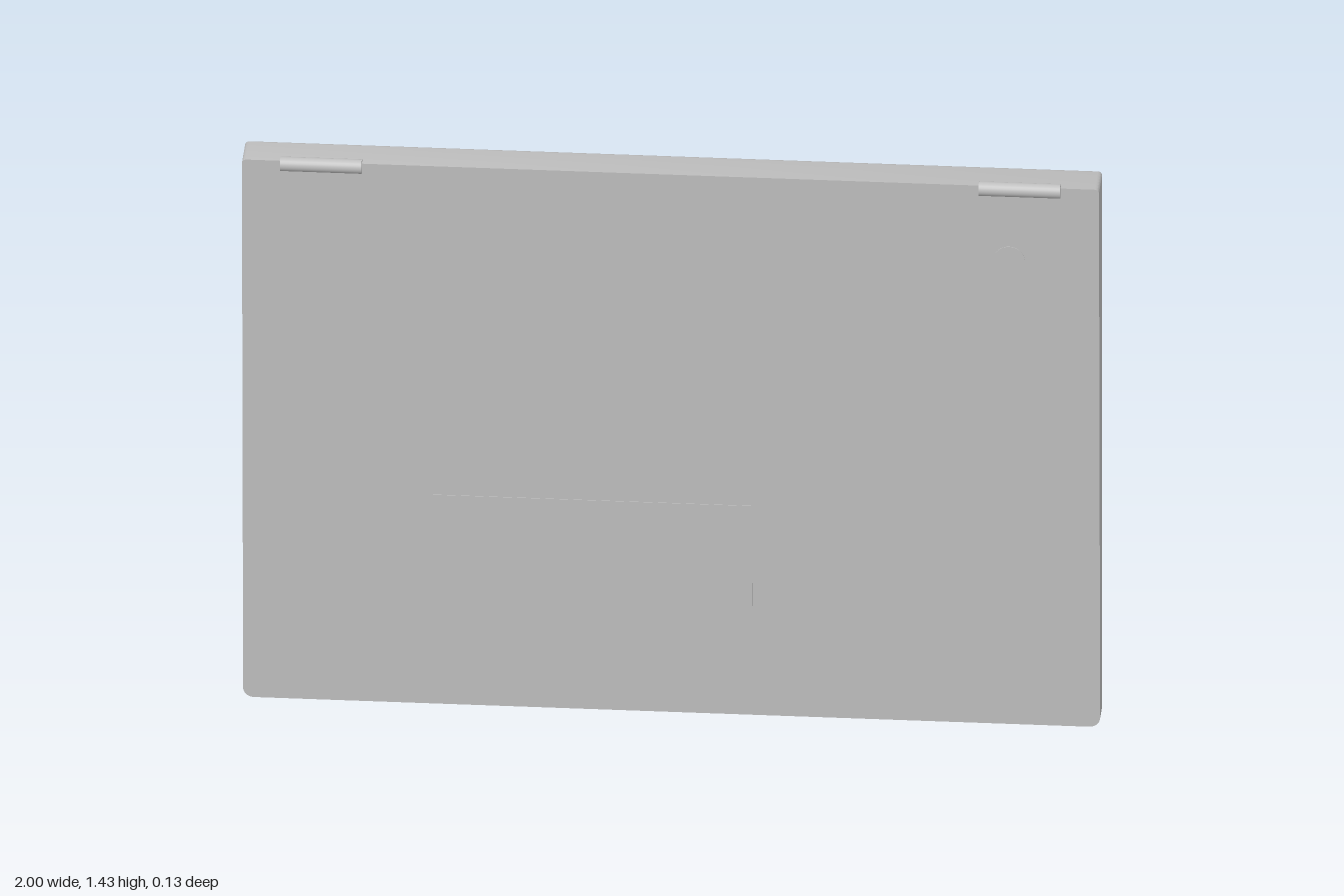
import * as THREE from 'three';
import { toCreasedNormals } from 'three/addons/utils/BufferGeometryUtils.js';

const H = 1.42, BACK = -0.06, LOW = 0.01, HIGH = 0.045;
const slopeZ = (y) => LOW + (HIGH - LOW) * (y / H);

// Slab outline, larger corners at the bottom, drawn anticlockwise
function outline() {
  const s = new THREE.Shape(), rb = 0.025, rt = 0.01;
  s.absarc(1 - rb, rb, rb, -Math.PI / 2, 0);
  s.absarc(1 - rt, H - rt, rt, 0, Math.PI / 2);
  s.absarc(-1 + rt, H - rt, rt, Math.PI / 2, Math.PI);
  s.absarc(-1 + rb, rb, rb, Math.PI, Math.PI * 1.5);
  return s.getPoints(6);
}

// Wedge lofted from outline loops: rounded back rim, sloping front face
function wedge() {
  const pts = outline(), n = pts.length, pos = [], idx = [];
  const loops = [];
  for (let i = 0; i <= 4; i++) {
    const a = (i / 4) * Math.PI / 2, inset = 1 - Math.sin(a);
    loops.push({ sx: 1 - 0.004 * inset, dy: 0.014 * inset, z: () => BACK + 0.014 * (1 - Math.cos(a)) });
  }
  loops.push({ sx: 1, dy: 0, z: slopeZ });
  for (const l of loops) {
    for (const p of pts) {
      const y = H / 2 + (p.y - H / 2) * (1 - l.dy / (H / 2));
      pos.push(p.x * l.sx, y, l.z(y));
    }
  }
  for (let k = 0; k < loops.length - 1; k++) {
    for (let i = 0; i < n; i++) {
      const j = (i + 1) % n, a = k * n + i, b = k * n + j;
      idx.push(a, b, b + n, a, b + n, a + n);
    }
  }
  // Flat back and front caps
  const c = loops.length * n, f = (loops.length - 1) * n;
  pos.push(0, H / 2, BACK, 0, H / 2, slopeZ(H / 2));
  for (let i = 0; i < n; i++) {
    const j = (i + 1) % n;
    idx.push(c, j, i, c + 1, f + i, f + j);
  }
  const g = new THREE.BufferGeometry();
  g.setAttribute('position', new THREE.Float32BufferAttribute(pos, 3));
  g.setIndex(idx);
  return toCreasedNormals(g, 0.6);
}

export function createModel() {
  const model = new THREE.Group();
  const grey = new THREE.MeshStandardMaterial({ color: 0xbfbfbf });
  grey.name = 'grey shell';
  const add = (parent, name, geometry, x, y, z) => {
    const m = new THREE.Mesh(geometry, grey);
    m.name = name;
    m.position.set(x, y, z);
    parent.add(m);
    return m;
  };

  add(model, 'baseShell', wedge(), 0, 0, 0);

  // Hinge barrels along the top edge
  for (const side of [-1, 1]) {
    const h = add(model, side > 0 ? 'leftHinge' : 'rightHinge',
      new THREE.CylinderGeometry(0.017, 0.017, 0.19, 24), side * 0.815, 1.413, 0.046);
    h.rotation.z = Math.PI / 2;
  }

  // Thin details lying on the sloping front face
  const deck = new THREE.Group();
  deck.name = 'deckDetails';
  deck.position.z = LOW;
  deck.rotation.x = Math.atan((HIGH - LOW) / H);
  model.add(deck);
  add(deck, 'touchpad', new THREE.BoxGeometry(0.75, 0.515, 0.003), -0.185, 0.295, 0);
  const button = add(deck, 'powerButton', new THREE.CylinderGeometry(0.037, 0.037, 0.003, 32), 0.79, 1.225, 0);
  button.rotation.x = Math.PI / 2;

  // Long rubber foot on the flat back, with rounded ends
  const foot = new THREE.Shape();
  foot.absarc(0.32, 0, 0.01, -Math.PI / 2, Math.PI / 2);
  foot.absarc(-0.32, 0, 0.01, Math.PI / 2, Math.PI * 1.5);
  add(model, 'footStrip', new THREE.ExtrudeGeometry(foot, { depth: 0.006, bevelEnabled: false }), 0, 0.105, -0.063);

  return model;
}
